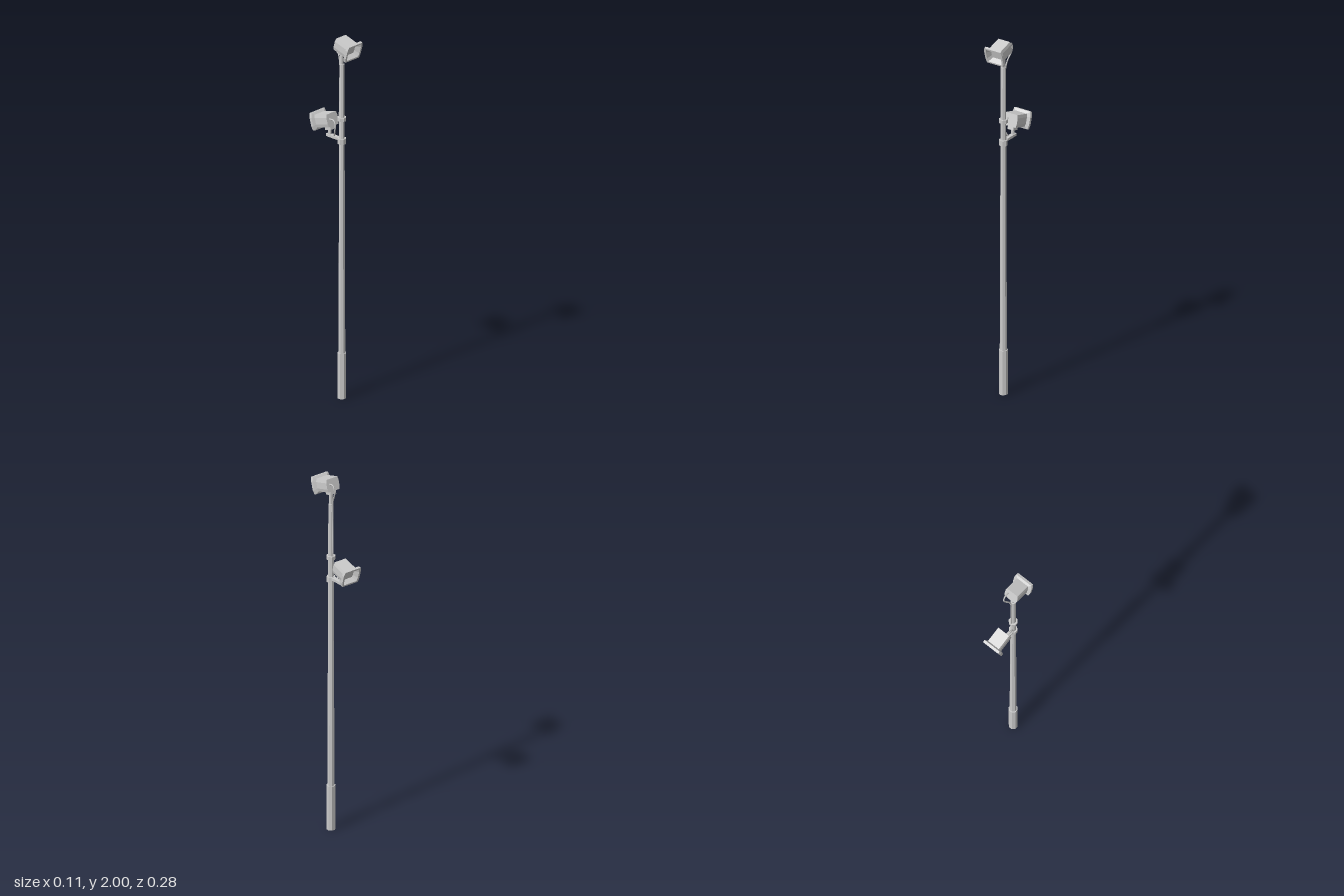
import * as THREE from 'three';

const material = new THREE.MeshStandardMaterial({ color: 0xcccccc, flatShading: true });
const smooth = new THREE.MeshStandardMaterial({ color: 0xcccccc });
const POLE_Z = 0.04;

function add(parent, name, geometry, x = 0, y = 0, z = 0, mat = material) {
  const mesh = new THREE.Mesh(geometry, mat);
  mesh.name = name;
  mesh.position.set(x, y, z);
  parent.add(mesh);
  return mesh;
}

// Rectangle with bulging sides, counter-clockwise seen from +z
function section([z, w, h]) {
  const half = [[w * 0.89, -h], [w, -h * 0.5], [w, h * 0.5], [w * 0.89, h]];
  return [...half, ...half.map(([x, y]) => [-x, -y])].map(([x, y]) => [x, y, z]);
}

// Skin between consecutive sections, capped at both ends
function loft(stations) {
  const rings = stations.map(section);
  const n = rings[0].length;
  const index = [];
  for (let r = 0; r < rings.length - 1; r++) {
    for (let i = 0; i < n; i++) {
      const a = r * n + i, b = r * n + (i + 1) % n;
      index.push(a, b, b + n, a, b + n, a + n);
    }
  }
  const last = (rings.length - 1) * n;
  for (let i = 1; i < n - 1; i++) {
    index.push(0, i + 1, i, last, last + i, last + i + 1);
  }
  const g = new THREE.BufferGeometry();
  g.setAttribute('position', new THREE.Float32BufferAttribute(rings.flat(2), 3));
  g.setIndex(index);
  const flat = g.toNonIndexed();
  flat.computeVertexNormals();
  return flat;
}

// Floodlight: origin at the centre of its rear face, shining along +z and tilted down
function floodlight(name, y, z, turn) {
  const lamp = new THREE.Group();
  lamp.name = name;
  lamp.position.set(0, y, z);
  lamp.rotation.order = 'YXZ';
  lamp.rotation.set(0.28, turn, 0);
  // Housing, flared hood, rim and recessed lens in one skin
  add(lamp, 'housing', loft([
    [0, 0.040, 0.034], [0.086, 0.040, 0.034],
    [0.093, 0.056, 0.047], [0.107, 0.056, 0.047],
    [0.107, 0.045, 0.038], [0.080, 0.032, 0.027],
  ]));
  add(lamp, 'mountBlock', new THREE.BoxGeometry(0.036, 0.022, 0.04), 0, -0.042, 0.03);
  return lamp;
}

function cable(parent, name, points) {
  const curve = new THREE.CatmullRomCurve3(points.map(p => new THREE.Vector3(...p)));
  add(parent, name, new THREE.TubeGeometry(curve, 40, 0.004, 6), 0, 0, 0, smooth);
}

export function createModel() {
  const model = new THREE.Group();
  model.name = 'floodlightPole';

  // Pole: [name, top radius, bottom radius, bottom y, top y]
  for (const [name, rt, rb, y0, y1] of [
    ['base', 0.024, 0.024, 0, 0.25],
    ['pole', 0.014, 0.019, 0.25, 1.85],
    ['neck', 0.010, 0.010, 1.85, 1.91],
    ['lowerClamp', 0.023, 0.023, 1.41, 1.44],
    ['upperClamp', 0.024, 0.024, 1.537, 1.557],
  ]) {
    const g = new THREE.CylinderGeometry(rt, rb, y1 - y0, 8);
    g.rotateY(Math.PI / 8);
    add(model, name, g, 0, (y0 + y1) / 2, POLE_Z);
  }

  // Side arm carrying the lower lamp
  add(model, 'arm', new THREE.BoxGeometry(0.022, 0.014, 0.09), 0, 1.432, -0.018);
  add(model, 'armPost', new THREE.CylinderGeometry(0.009, 0.009, 0.04, 8), 0, 1.455, -0.046);

  model.add(floodlight('topFloodlight', 1.967, 0.0235, 0));
  model.add(floodlight('lowerFloodlight', 1.525, -0.0265, Math.PI));

  // Cables from each lamp's rear face to the pole and arm
  cable(model, 'topCable', [
    [0.02, 1.972, 0.03], [0.02, 1.976, 0.0], [0.019, 1.952, -0.012], [0.016, 1.922, -0.009],
    [0.008, 1.885, 0.012], [0.003, 1.84, 0.024], [0, 1.7, 0.025], [0, 1.55, 0.023],
  ]);
  cable(model, 'lowerCable', [
    [-0.02, 1.53, -0.034], [-0.02, 1.531, 0.0], [-0.021, 1.51, 0.013], [-0.019, 1.48, 0.009],
    [-0.011, 1.455, -0.002], [-0.004, 1.435, -0.012],
  ]);
  return model;
}
